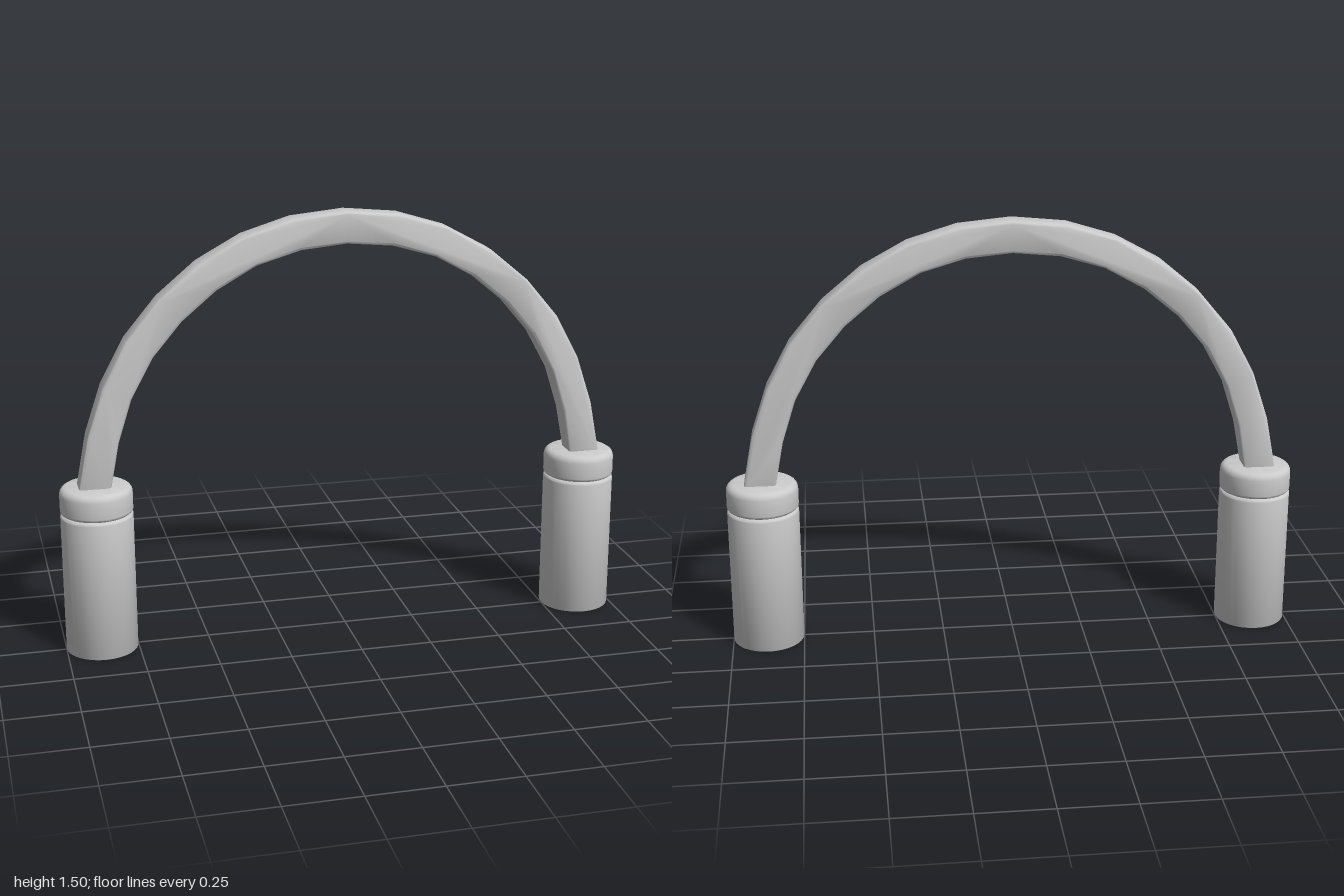
import * as THREE from 'three';
import { toCreasedNormals } from 'three/addons/utils/BufferGeometryUtils.js';

const material = new THREE.MeshStandardMaterial({ color: 0xcccccc });

// Turned part with a small rounding at its lower and upper rims
function turned(name, y0, y1, radius, lowRound, topRound) {
  const profile = [new THREE.Vector2(0, y0)];
  const steps = 4;
  for (let i = 0; i <= steps; i++) {
    const a = (i / steps) * Math.PI / 2;
    profile.push(new THREE.Vector2(
      radius - lowRound * (1 - Math.sin(a)), y0 + lowRound * (1 - Math.cos(a))));
  }
  for (let i = 0; i <= steps; i++) {
    const a = (i / steps) * Math.PI / 2;
    profile.push(new THREE.Vector2(
      radius - topRound * (1 - Math.cos(a)), y1 - topRound * (1 - Math.sin(a))));
  }
  profile.push(new THREE.Vector2(0, y1));
  const geometry = toCreasedNormals(new THREE.LatheGeometry(profile, 32), 0.7);
  const mesh = new THREE.Mesh(geometry, material);
  mesh.name = name;
  return mesh;
}

// Faceted arch of rectangular section with softened edges
function makeArch() {
  // Half outlines, from the crown down to the end hidden in the post
  const outer = [[0, 1.505], [0.185, 1.487], [0.355, 1.435], [0.51, 1.35], [0.645, 1.237],
    [0.76, 1.1], [0.843, 0.945], [0.9, 0.775], [0.94, 0.57]];
  const inner = [[0, 1.395], [0.16, 1.38], [0.312, 1.335], [0.45, 1.258], [0.57, 1.158],
    [0.67, 1.04], [0.747, 0.9], [0.795, 0.75], [0.83, 0.57]];
  const mirrored = (half) => half.slice(1).reverse().map(([x, y]) => [-x, y]);
  const rightToLeft = [...mirrored(outer), ...outer];
  const leftToRight = [...mirrored(inner), ...inner].reverse();
  const shape = new THREE.Shape(
    [...rightToLeft, ...leftToRight].map(([x, y]) => new THREE.Vector2(x, y)));

  const bevel = 0.01, width = 0.09;
  const geometry = new THREE.ExtrudeGeometry(shape, {
    depth: width - 2 * bevel, bevelThickness: bevel,
    bevelSize: bevel, bevelOffset: -bevel, bevelSegments: 2,
  });
  geometry.translate(0, 0, bevel - width / 2);
  const mesh = new THREE.Mesh(toCreasedNormals(geometry, 0.9), material);
  mesh.name = 'arch';
  return mesh;
}

export function createModel() {
  const model = new THREE.Group();
  model.name = 'archOnPosts';
  model.add(makeArch());

  // A capped post under each end of the arch
  for (const side of [1, -1]) {
    const post = new THREE.Group();
    post.name = side > 0 ? 'leftPost' : 'rightPost';
    post.position.x = side * 0.875;
    post.add(turned('postBody', 0, 0.5, 0.125, 0.003, 0.012));
    post.add(turned('postCap', 0.5, 0.595, 0.125, 0.012, 0.025));
    model.add(post);
  }
  return model;
}
